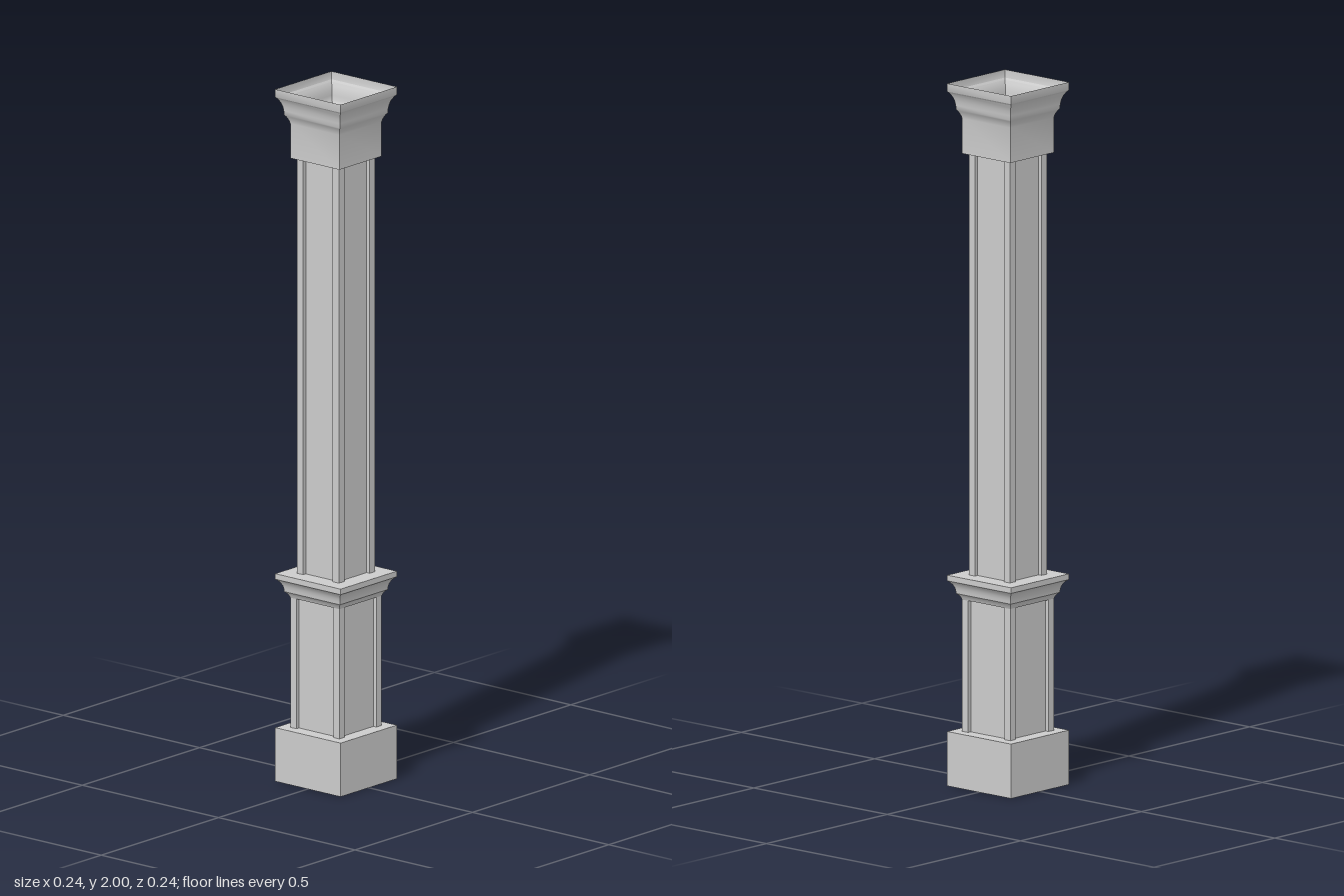
import * as THREE from 'three';
import { toCreasedNormals } from 'three/addons/utils/BufferGeometryUtils.js';

const HOLE = 0.064; // half width of the opening that runs through the column

const material = new THREE.MeshStandardMaterial({ color: 0xcccccc, side: THREE.DoubleSide });

// Four-sided moulding: profile points are [half width, height], swept round a square
function squareMoulding(name, profile) {
  const points = profile.map(([w, y]) => new THREE.Vector2(w * Math.SQRT2, y));
  const geometry = new THREE.LatheGeometry(points, 4, Math.PI / 4);
  const mesh = new THREE.Mesh(toCreasedNormals(geometry, 0.7), material);
  mesh.name = name;
  return mesh;
}

// Hollow square shaft with corner posts and a recessed panel on every side
function panelledShaft(name, half, post, recess, y0, y1) {
  const inner = half - post, panel = half - recess;
  const side = [[half, -half], [half, -inner], [panel, -inner], [panel, inner], [half, inner]];
  const outline = [];
  for (let i = 0; i < 4; i++) {
    for (const [x, y] of side) {
      outline.push(new THREE.Vector2(x, y).rotateAround(new THREE.Vector2(), i * Math.PI / 2));
    }
  }
  const shape = new THREE.Shape(outline);
  const hole = [[-1, -1], [-1, 1], [1, 1], [1, -1]];
  shape.holes.push(new THREE.Path(hole.map(([x, y]) => new THREE.Vector2(x * HOLE, y * HOLE))));
  const geometry = new THREE.ExtrudeGeometry(shape, { depth: y1 - y0, bevelEnabled: false });
  geometry.rotateX(-Math.PI / 2).translate(0, y0, 0);
  const mesh = new THREE.Mesh(geometry, material);
  mesh.name = name;
  return mesh;
}

// Crown profile, measured down from its top edge at height y
function crown(y) {
  return [
    [0.09, y - 0.1], [0.093, y - 0.09], [0.098, y - 0.08], [0.102, y - 0.075],
    [0.103, y - 0.062], [0.105, y - 0.05], [0.109, y - 0.038], [0.115, y - 0.028],
    [0.12, y - 0.023], [0.12, y],
  ];
}

export function createModel() {
  const group = new THREE.Group();
  group.name = 'column';

  // Plinth, open underneath
  group.add(squareMoulding('plinth', [[0.12, 0], [0.12, 0.155], [HOLE, 0.155]]));

  // Pedestal and its cornice
  group.add(panelledShaft('pedestal', 0.09, 0.022, 0.011, 0.155, 0.53));
  const cornice = crown(0.6).map(([w, y]) => [w, 0.6 - (0.6 - y) * 0.7]);
  group.add(squareMoulding('pedestalCornice', [[HOLE, 0.53], ...cornice, [HOLE, 0.6]]));

  // Tall shaft
  group.add(panelledShaft('shaft', 0.077, 0.023, 0.011, 0.6, 1.8));

  // Capital: a thin flared shell, open at the top
  group.add(squareMoulding('capital', [[HOLE, 1.8], [0.09, 1.8], ...crown(2)]));

  return group;
}
